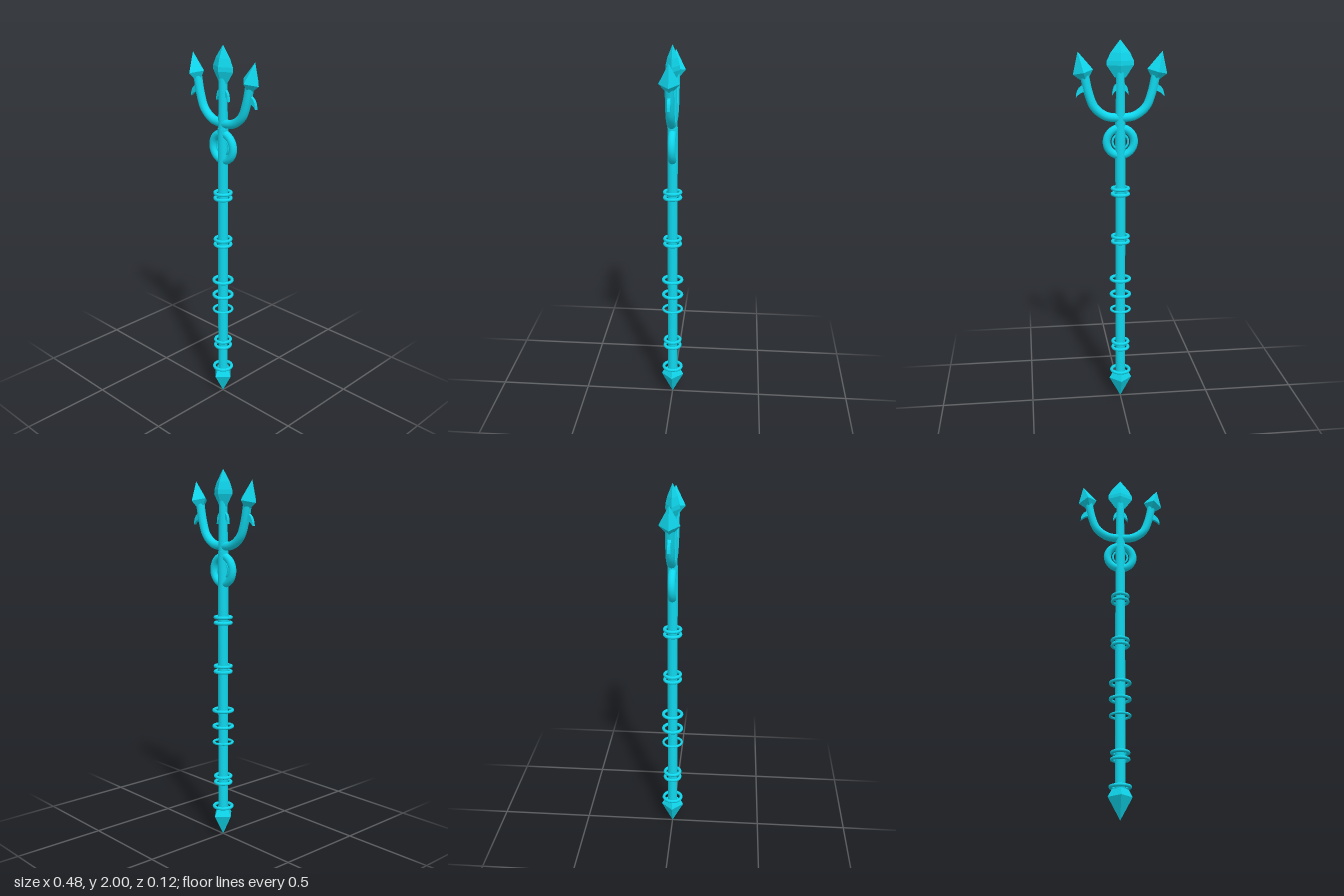
import * as THREE from 'three';

export function createModel() {
  const group = new THREE.Group();
  const smooth = new THREE.MeshStandardMaterial({ color: 0x0fd8ee });
  const faceted = new THREE.MeshStandardMaterial({ color: 0x0fd8ee, flatShading: true });

  function add(name, geometry, material, x = 0, y = 0, z = 0) {
    const mesh = new THREE.Mesh(geometry, material);
    mesh.name = name;
    mesh.position.set(x, y, z);
    group.add(mesh);
    return mesh;
  }
  // Four-sided spike whose corners lie on the x and z axes
  const spike = (points) =>
    new THREE.LatheGeometry(points.map(([r, y]) => new THREE.Vector2(r, y)), 4);

  // Shaft, slimmer above the fork
  add('shaft', new THREE.CylinderGeometry(0.027, 0.027, 1.46, 16), smooth, 0, 0.85);
  add('upperShaft', new THREE.CylinderGeometry(0.022, 0.025, 0.28, 16), smooth, 0, 1.71);

  // Pointed foot
  add('pommel', spike([[0, 0.005], [0.062, 0.12], [0.042, 0.158], [0, 0.158]]), faceted);

  // Rings around the shaft: height, ring radius, thickness
  const collars = [
    [0.17, 0.05, 0.009], [0.31, 0.043, 0.009], [0.345, 0.043, 0.009],
    [0.54, 0.052, 0.007], [0.63, 0.051, 0.009], [0.72, 0.051, 0.009],
    [0.935, 0.043, 0.009], [0.965, 0.043, 0.009],
    [1.2, 0.043, 0.009], [1.23, 0.043, 0.009],
  ];
  for (const [y, radius, tube] of collars) {
    add('collar', new THREE.TorusGeometry(radius, tube, 8, 20), smooth, 0, y).rotation.x = Math.PI / 2;
  }

  // Upright double ring below the fork
  add('outerRing', new THREE.TorusGeometry(0.072, 0.021, 12, 32), smooth, 0, 1.48);
  add('innerRing', new THREE.TorusGeometry(0.041, 0.006, 8, 24), smooth, 0, 1.48);

  // Flattened leaf-shaped centre tip
  add('centreTip', spike([[0, 1.81], [0.028, 1.81], [0.07, 1.872], [0.069, 1.895], [0.05, 1.935], [0, 2]]), faceted)
    .scale.z = 0.52;

  // Hooked barb, drawn pointing outward along +x
  const hook = (w, h) => {
    const s = new THREE.Shape();
    s.moveTo(0, 0.012);
    s.quadraticCurveTo(w * 0.95, 0.008, w, -h);
    s.quadraticCurveTo(w * 0.6, -h * 0.45, 0, -0.025);
    s.closePath();
    return new THREE.ExtrudeGeometry(s, { depth: 0.016, bevelEnabled: false, curveSegments: 6 })
      .translate(0, 0, -0.008);
  };

  // Curved side prongs, with tips and barbs on both sides
  for (const side of [1, -1]) {
    const path = new THREE.CatmullRomCurve3(
      [[0, 1.603], [0.075, 1.615], [0.133, 1.66], [0.162, 1.73], [0.184, 1.83]]
        .map(([x, y]) => new THREE.Vector3(side * x, y, 0)));
    add('prong', new THREE.TubeGeometry(path, 24, 0.023, 12), smooth);

    add('sideTip', spike([[0, -0.036], [0.022, -0.036], [0.053, 0], [0, 0.105]]), faceted, side * 0.19, 1.84)
      .rotation.z = -side * 0.25;

    const turn = side > 0 ? 0 : Math.PI;
    add('prongBarb', hook(0.06, 0.055), faceted, side * 0.168, 1.768).rotation.y = turn;
    add('centreBarb', hook(0.03, 0.05), faceted, side * 0.012, 1.77).rotation.y = turn;
  }
  return group;
}
